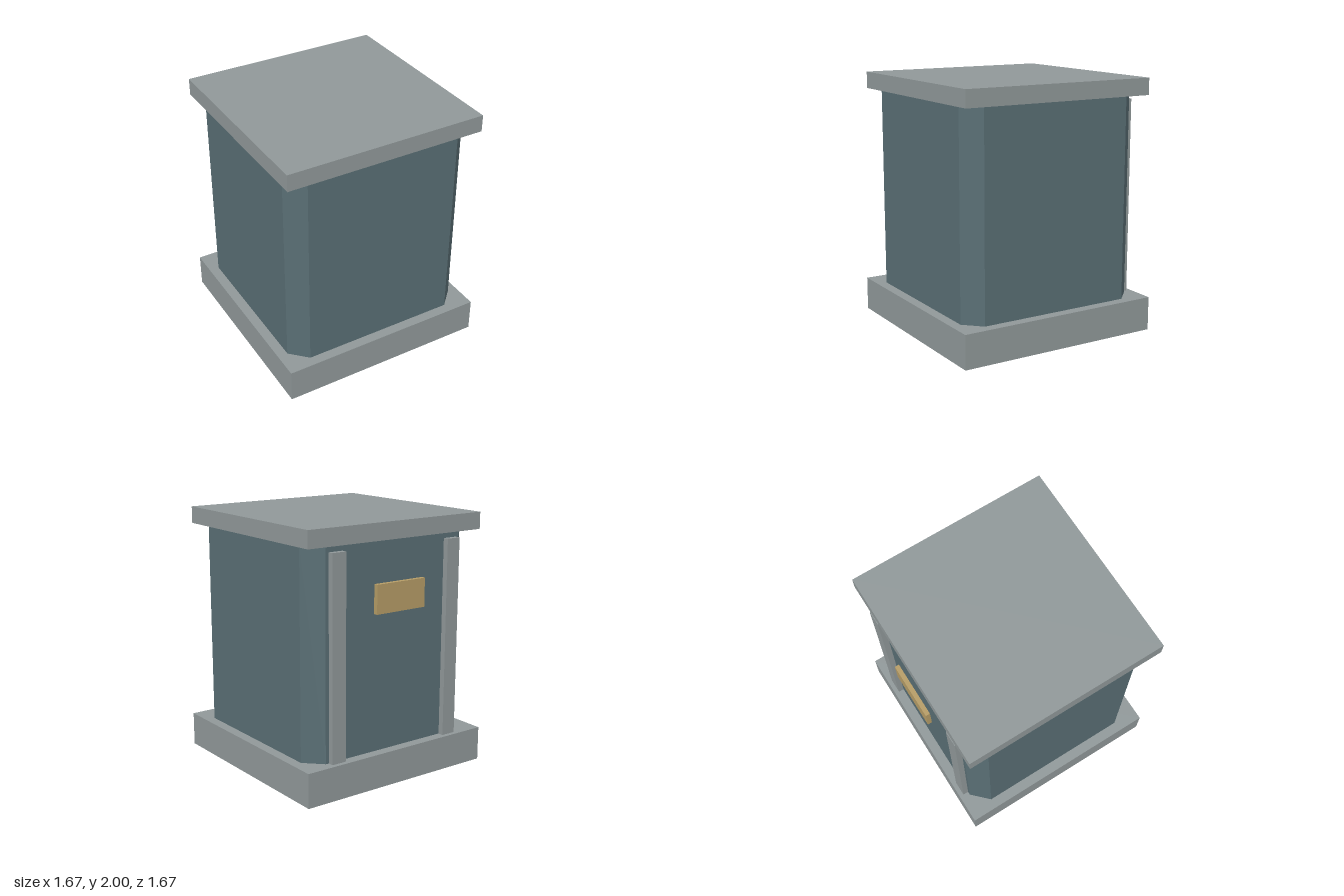
import * as THREE from 'three';

export function createModel() {
  const model = new THREE.Group();
  model.name = 'pedestalKiosk';

  const material = (name, color) => {
    const m = new THREE.MeshStandardMaterial({ color });
    m.name = name;
    return m;
  };
  const stone = material('stoneGrey', 0x909899);
  const panel = material('slateTeal', 0x596e74);
  const brass = material('brass', 0xb59c66);

  const add = (name, geometry, mat, x = 0, y = 0, z = 0) => {
    const mesh = new THREE.Mesh(geometry, mat);
    mesh.name = name;
    mesh.position.set(x, y, z);
    model.add(mesh);
  };
  const box = (w, h, d) => new THREE.BoxGeometry(w, h, d);

  // Plinth and cap slab
  add('base', box(1.67, 0.267, 1.67), stone, 0, 0.1335, 0);
  add('cap', box(1.61, 0.132, 1.6), stone, 0, 1.934, 0);

  // Body: square column with bevelled corners
  const a = 0.755, b = 0.625;
  const outline = new THREE.Shape([
    [a, -b], [a, b], [b, a], [-b, a], [-a, b], [-a, -b], [-b, -a], [b, -a],
  ].map(([x, y]) => new THREE.Vector2(x, y)));
  const body = new THREE.ExtrudeGeometry(outline, { depth: 1.601, bevelEnabled: false });
  body.rotateX(-Math.PI / 2);
  add('body', body, panel, 0, 0.267, 0);

  // Upright strips on the back
  for (const side of [1, -1]) {
    add(side > 0 ? 'leftBackStrip' : 'rightBackStrip',
      box(0.12, 1.555, 0.05), stone, side * 0.537, 1.0445, -0.775);
  }

  // Plate standing proud between the strips
  add('plate', box(0.45, 0.22, 0.035), brass, 0, 1.451, -0.8175);

  return model;
}
